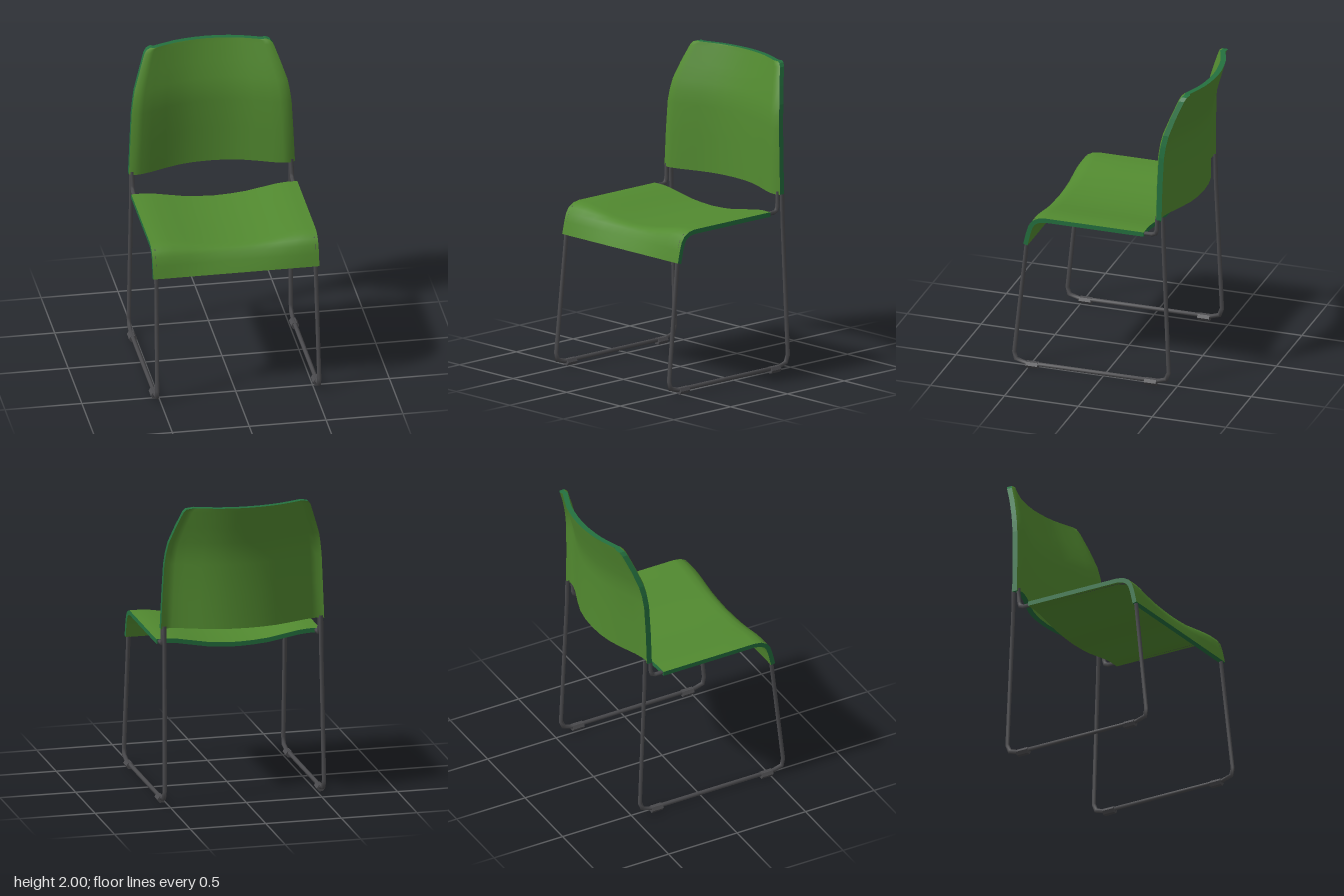
import * as THREE from 'three';

const shell = new THREE.MeshStandardMaterial({ color: 0x528a30 });
shell.name = 'shell green';
const rim = new THREE.MeshStandardMaterial({ color: 0x24703f });
rim.name = 'rim green';
const steel = new THREE.MeshStandardMaterial({ color: 0x4a4a4d });
steel.name = 'dark steel';

// Linear lookup in a table of [x, value] pairs
function lookup(table, x) {
  for (let i = 1; i < table.length; i++) {
    const [x0, a] = table[i - 1], [x1, b] = table[i];
    if (x <= x1) return a + (b - a) * Math.max(0, (x - x0) / (x1 - x0));
  }
  return table[table.length - 1][1];
}

function makeGeometry(points, index) {
  const g = new THREE.BufferGeometry();
  g.setAttribute('position', new THREE.Float32BufferAttribute(points.flat(), 3));
  g.setIndex(index);
  g.computeVertexNormals();
  return g;
}

// Thick panel: smooth outer and inner faces plus a separate rim.
// point(i, j, inner) gives [x, y, z]; i runs along +x, j from back or top to front or bottom.
function makePanel(name, nu, nv, point) {
  const group = new THREE.Group();
  group.name = name;
  for (const inner of [false, true]) {
    const pts = [], idx = [];
    for (let j = 0; j < nv; j++) for (let i = 0; i < nu; i++) {
      pts.push(point(i, j, inner));
      if (i === nu - 1 || j === nv - 1) continue;
      const a = j * nu + i, b = a + 1, c = a + nu, d = c + 1;
      if (inner) idx.push(a, b, c, b, d, c);
      else idx.push(a, c, b, b, c, d);
    }
    const face = new THREE.Mesh(makeGeometry(pts, idx), shell);
    face.name = name + (inner ? 'InnerFace' : 'OuterFace');
    group.add(face);
  }
  // Rim loop, with unshared corners so it stays crisp
  const loop = [];
  for (let j = 0; j < nv - 1; j++) loop.push([0, j]);
  for (let i = 0; i < nu - 1; i++) loop.push([i, nv - 1]);
  for (let j = nv - 1; j > 0; j--) loop.push([nu - 1, j]);
  for (let i = nu - 1; i > 0; i--) loop.push([i, 0]);
  const pts = [], idx = [];
  loop.forEach((p, k) => {
    const q = loop[(k + 1) % loop.length], n = pts.length;
    pts.push(point(...p, false), point(...q, false), point(...p, true), point(...q, true));
    idx.push(n, n + 2, n + 1, n + 1, n + 2, n + 3);
  });
  const edge = new THREE.Mesh(makeGeometry(pts, idx), rim);
  edge.name = name + 'Rim';
  group.add(edge);
  return group;
}

const half = [0, 0.19, 0.37, 0.55, 0.74, 0.86, 0.93, 1];
const columns = [...half.slice(1).reverse().map(t => -t), ...half];

// Seat: waterfall front, dished across the middle
function makeSeat() {
  // z, y, amount of dish
  const profile = [
    [-0.285, 1.07, 1], [-0.05, 1.07, 1], [0.2, 1.07, 1], [0.38, 1.07, 1], [0.43, 1.062, 0.9],
    [0.47, 1.04, 0.75], [0.495, 1.005, 0.55], [0.512, 0.95, 0.3], [0.53, 0.87, 0],
  ];
  const dish = [[0, 0.055], [0.1, 0.051], [0.2, 0.042], [0.3, 0.024], [0.4, 0.006], [0.46, 0], [0.54, 0]];
  return makePanel('seat', columns.length, profile.length, (i, j, inner) => {
    const x = columns[i] * 0.54, [z, y, weight] = profile[j];
    const p = profile[Math.max(j - 1, 0)], q = profile[Math.min(j + 1, profile.length - 1)];
    const dz = q[0] - p[0], dy = q[1] - p[1], len = Math.hypot(dz, dy);
    const sink = lookup(dish, Math.abs(x)) * weight + (inner ? 0.03 : 0);
    return [x, y - sink * dz / len, z + sink * dy / len];
  });
}

// Backrest: curved across, leaning back and narrowing towards the top
function makeBackrest() {
  // y, half width, lean
  const rows = [
    [2, 0.375, -0.1], [1.993, 0.402, -0.098], [1.97, 0.42, -0.092], [1.86, 0.46, -0.06],
    [1.75, 0.497, -0.03], [1.68, 0.51, -0.017], [1.6, 0.52, -0.008], [1.4, 0.53, -0.002], [1.17, 0.54, 0],
  ];
  const bow = [[0, -0.475], [0.1, -0.47], [0.2, -0.452], [0.3, -0.418], [0.4, -0.378], [0.47, -0.358], [0.54, -0.352]];
  return makePanel('backrest', columns.length, rows.length, (i, j, inner) => {
    const [y, w, lean] = rows[j], t = columns[i];
    const curl = Math.abs(t) === 1 ? -0.018 : 0;
    return [t * w, y, lookup(bow, Math.abs(t * w)) + lean + curl - (inner ? 0.036 : 0)];
  });
}

// Mitred six-sided tube through [x, y, z] points lying close to a vertical plane
function makeTube(name, path, radius) {
  const sides = 6, pts = [], idx = [];
  path.forEach(([x, y, z], k) => {
    const dir = (a, b) => new THREE.Vector2(b[2] - a[2], b[1] - a[1]).normalize();
    const before = k ? dir(path[k - 1], path[k]) : dir(path[0], path[1]);
    const after = k < path.length - 1 ? dir(path[k], path[k + 1]) : before;
    const t = before.clone().add(after).normalize();
    const r = radius / Math.max(0.5, t.dot(after));
    for (let s = 0; s < sides; s++) {
      const a = (s + 0.5) * Math.PI * 2 / sides, c = Math.cos(a) * radius, n = Math.sin(a) * r;
      pts.push([x + c, y + n * t.x, z - n * t.y]);
      if (k === path.length - 1) continue;
      const p = k * sides + s, q = k * sides + (s + 1) % sides;
      idx.push(p, q, p + sides, q, q + sides, p + sides);
    }
  });
  const material = steel;
  const mesh = new THREE.Mesh(makeGeometry(pts, idx), material);
  mesh.name = name;
  return mesh;
}

// One side of the sled frame with its two floor glides
function makeSide(sign, label) {
  const group = new THREE.Group();
  group.name = label + 'Frame';
  const leg = [
    [0.518, 1.19, -0.408], [0.518, 1, -0.412], [0.527, 0.1, -0.45], [0.527, 0.052, -0.432], [0.527, 0.032, -0.37],
    [0.527, 0.032, 0.52], [0.527, 0.052, 0.585], [0.527, 0.1, 0.595], [0.518, 0.88, 0.512],
    [0.518, 0.95, 0.497], [0.518, 1, 0.482], [0.518, 1.034, 0.455], [0.518, 1.053, 0.38],
    [0.518, 1.055, -0.335], [0.518, 1.065, -0.358], [0.518, 1.09, -0.366], [0.518, 1.19, -0.372],
  ];
  group.add(makeTube(label + 'SledTube', leg.map(([x, y, z]) => [sign * x, y, z]), 0.0145));
  for (const [place, z] of [['Front', 0.472], ['Rear', -0.33]]) {
    const g = new THREE.CylinderGeometry(0.027, 0.027, 0.08, 6).toNonIndexed();
    g.rotateX(Math.PI / 2);
    g.computeVertexNormals();
    const glide = new THREE.Mesh(g, steel);
    glide.name = label + place + 'Glide';
    glide.rotation.z = Math.PI / 2;
    glide.scale.set(0.87, 1, 1);
    glide.position.set(sign * 0.527, 0.0235, z);
    group.add(glide);
  }
  return group;
}

export function createModel() {
  const model = new THREE.Group();
  model.name = 'chair';
  model.add(makeSeat(), makeBackrest(), makeSide(1, 'left'), makeSide(-1, 'right'));
  return model;
}
